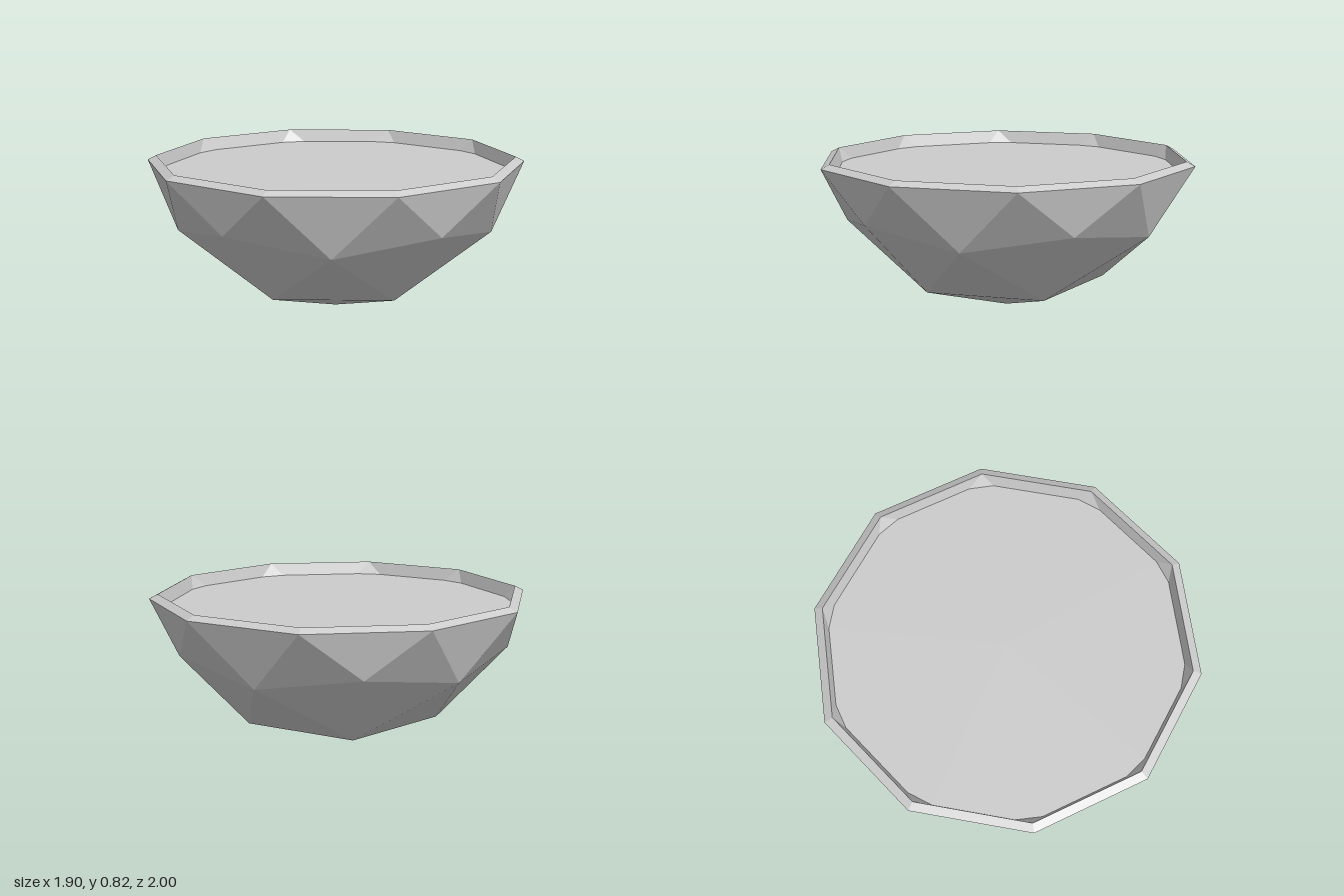
import * as THREE from 'three';

// Each ring is [radius, height]; the bowl is the lower half of a faceted sphere.
const OUTER = { pole: [0, 0], low: [0.526, 0.153], five: [0.894, 0.555], mid: [0.85, 0.477], rim: [1, 0.8] };
const INNER = { pole: [0, 0.05], low: [0.5, 0.2], five: [0.85, 0.585], mid: [0.81, 0.51], rim: [0.955, 0.823] };
const LEVEL = 0.754;

// Point on a ring at an angle in degrees
function at([r, y], deg) {
  const a = THREE.MathUtils.degToRad(deg);
  return new THREE.Vector3(r * Math.cos(a), y, r * Math.sin(a));
}

function mesh(name, triangles, side = THREE.FrontSide) {
  const geometry = new THREE.BufferGeometry().setFromPoints(triangles.flat());
  geometry.computeVertexNormals();
  const material = new THREE.MeshStandardMaterial({ color: 0xcccccc, flatShading: true, side });
  const m = new THREE.Mesh(geometry, material);
  m.name = name;
  return m;
}

// Five identical sectors of triangles, facing outward
function shell(s) {
  const tris = [];
  for (let a = 36; a < 396; a += 72) {
    const b = a + 72;
    const low = at(s.low, a), lowB = at(s.low, b);
    const five = at(s.five, a), fiveB = at(s.five, b);
    const mid = at(s.mid, a + 36);
    const rim0 = at(s.rim, a - 18), rim1 = at(s.rim, a + 18), rim2 = at(s.rim, a + 54);
    tris.push(
      [at(s.pole, 0), low, lowB],
      [low, mid, lowB],
      [low, five, mid],
      [lowB, mid, fiveB],
      [five, rim0, rim1],
      [five, rim1, mid],
      [mid, rim1, rim2],
      [mid, rim2, fiveB],
    );
  }
  return tris;
}

// Bevelled lip joining the outer and inner shells
function lip() {
  const tris = [];
  for (let a = 18; a < 378; a += 36) {
    const o0 = at(OUTER.rim, a), o1 = at(OUTER.rim, a + 36);
    const i0 = at(INNER.rim, a), i1 = at(INNER.rim, a + 36);
    tris.push([o1, o0, i0], [o1, i0, i1]);
  }
  return tris;
}

// Flat filling, cut where the level crosses the inner wall's edges
function filling() {
  const outline = [];
  const cut = (rimDeg, ring, deg) => {
    const top = at(INNER.rim, rimDeg), bottom = at(ring, deg);
    outline.push(top.clone().lerp(bottom, (top.y - LEVEL) / (top.y - bottom.y)));
  };
  for (let a = 36; a < 396; a += 72) {
    cut(a - 18, INNER.five, a);
    cut(a + 18, INNER.five, a);
    cut(a + 18, INNER.mid, a + 36);
    cut(a + 54, INNER.mid, a + 36);
  }
  const centre = new THREE.Vector3(0, LEVEL, 0);
  return outline.map((p, i) => [centre, outline[(i + 1) % outline.length], p]);
}

export function createModel() {
  const group = new THREE.Group();
  group.name = 'facetedBowl';
  group.add(
    mesh('outerShell', shell(OUTER)),
    mesh('innerShell', shell(INNER).map(([a, b, c]) => [a, c, b])),
    mesh('rim', lip()),
    mesh('filling', filling(), THREE.DoubleSide),
  );
  return group;
}
